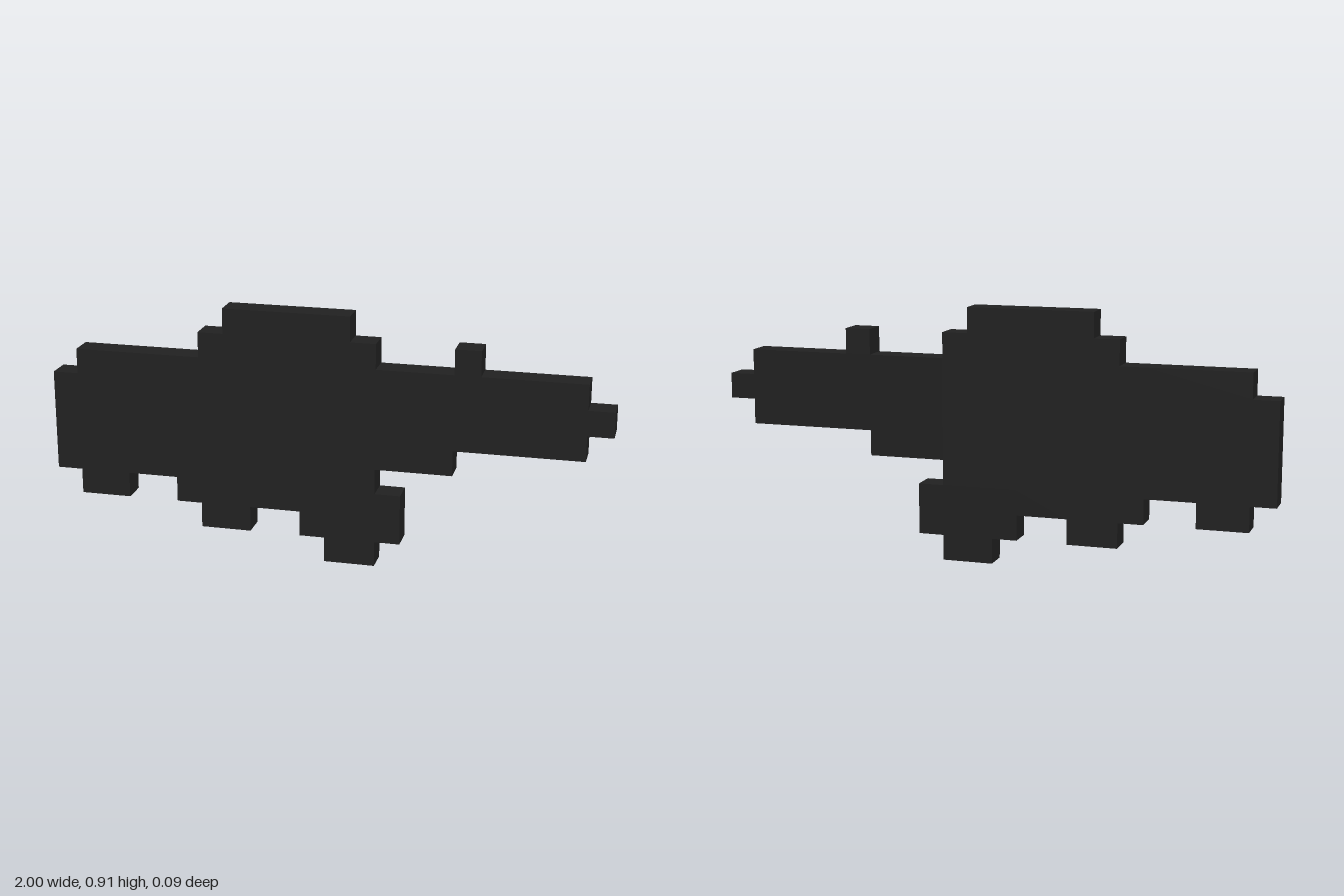
import * as THREE from 'three';

// One grid cell: the model is 22 cells long, 10 high and 1 deep
const U = 2 / 22;

// Stepped outlines in cells, counter-clockwise
const PARTS = {
  rearBlock: [[0, 3], [1, 3], [1, 2], [3, 2], [3, 3], [5, 3], [5, 8], [1, 8], [1, 7], [0, 7]],
  body: [[5, 2], [6, 2], [6, 1], [8, 1], [8, 2], [10, 2], [10, 3], [13, 3], [13, 9], [12, 9],
    [12, 10], [7, 10], [7, 9], [6, 9], [6, 8], [5, 8]],
  grip: [[10, 1], [11, 1], [11, 0], [13, 0], [13, 1], [14, 1], [14, 3], [10, 3]],
  barrel: [[13, 4], [16, 4], [16, 5], [21, 5], [21, 8], [13, 8]],
  sight: [[16, 8], [17, 8], [17, 9], [16, 9]],
  muzzle: [[21, 6], [22, 6], [22, 7], [21, 7]],
};

export function createModel() {
  const group = new THREE.Group();
  group.name = 'blockyBlaster';
  const black = new THREE.MeshStandardMaterial({ color: 0x222222 });
  black.name = 'charcoal black';

  // Extrude every outline by one cell, centred on z = 0
  for (const [name, cells] of Object.entries(PARTS)) {
    const shape = new THREE.Shape(cells.map(([c, r]) => new THREE.Vector2((c - 11) * U, r * U)));
    const geometry = new THREE.ExtrudeGeometry(shape, { depth: U, bevelEnabled: false });
    geometry.translate(0, 0, -U / 2);
    const mesh = new THREE.Mesh(geometry, black);
    mesh.name = name;
    group.add(mesh);
  }
  return group;
}
